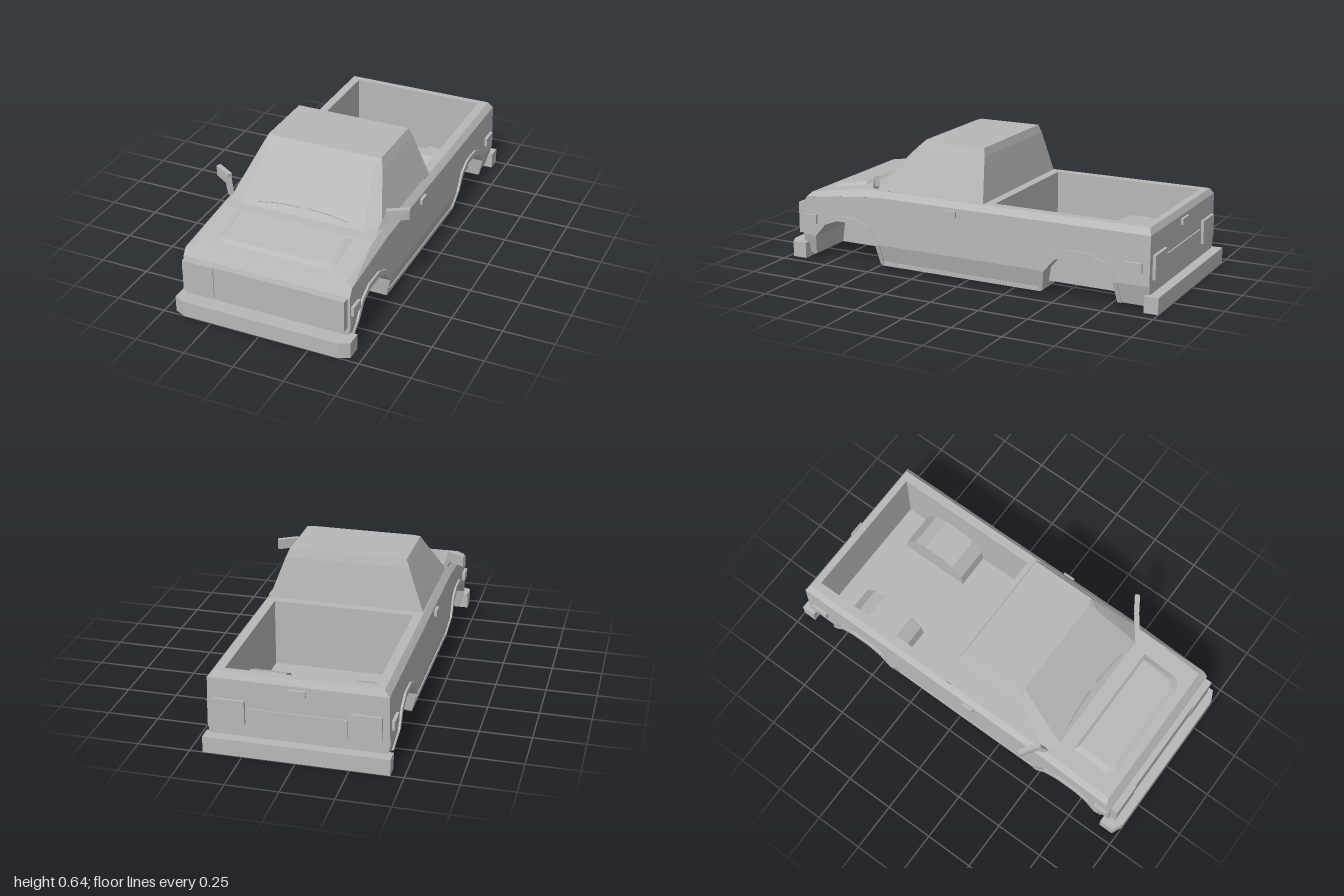
import * as THREE from 'three';

const paint = new THREE.MeshStandardMaterial({ color: 0xb8b8b8, side: THREE.DoubleSide });
paint.name = 'grey paint';

// Half wheel-arch outlines as [z offset, y]
const ARCH_IN = [[0.19, 0.02], [0.175, 0.12], [0.12, 0.185], [0.05, 0.213]];
const ARCH_OUT = [[0.21, 0.02], [0.195, 0.12], [0.135, 0.205], [0.056, 0.24]];
const AXLES = [0.67, -0.6];
const WELL_X = 0.17;

// Half width of the body side at height y
const sideX = y => y <= 0.12 ? 0.4 + 0.25 * (y - 0.02) : 0.425 - 0.02 * (y - 0.12);

// Full arch from front to back
const arch = (half, zc) => [
  ...half.map(([d, y]) => [zc + d, y]),
  ...half.slice().reverse().map(([d, y]) => [zc - d, y]),
];

// Flat-shaded geometry from polygons of [x, y, z] corners
function faces(polys) {
  const p = [];
  for (const q of polys)
    for (let i = 1; i < q.length - 1; i++) p.push(...q[0], ...q[i], ...q[i + 1]);
  const g = new THREE.BufferGeometry();
  g.setAttribute('position', new THREE.Float32BufferAttribute(p, 3));
  g.computeVertexNormals();
  return g;
}

// Shape in the side plane from [z, y] points
const sideShape = pts => new THREE.Shape(pts.map(([z, y]) => new THREE.Vector2(-z, y)));

// Flat-shade after moving every vertex's x by a rule
function shiftX(geo, rule) {
  const g = geo.index ? geo.toNonIndexed() : geo;
  const p = g.attributes.position;
  for (let i = 0; i < p.count; i++) p.setX(i, rule(p.getX(i), p.getY(i)));
  g.computeVertexNormals();
  return g;
}

const sidePanel = pts =>
  shiftX(new THREE.ShapeGeometry(sideShape(pts)).rotateY(Math.PI / 2), (x, y) => sideX(y));

const flip = pts => pts.map(([x, y, z]) => [-x, y, z]);
// Cross strips joining a half-section to its mirror image
const across = pts => pts.slice(1).map((b, i) => [pts[i], b, ...flip([b, pts[i]])]);

export function createModel() {
  const model = new THREE.Group();
  const add = (name, geo) => {
    const m = new THREE.Mesh(geo, paint);
    m.name = name;
    model.add(m);
    return m;
  };
  const pair = (name, geo) => {
    add(name + 'Left', geo);
    add(name + 'Right', geo).scale.x = -1;
  };
  // Box given by its limits
  const box = (x0, x1, y0, y1, z0, z1) =>
    new THREE.BoxGeometry(x1 - x0, y1 - y0, z1 - z0)
      .translate((x0 + x1) / 2, (y0 + y1) / 2, (z0 + z1) / 2);

  // Body sides: upper band, tucked-in lower band, shoulder bevel
  const [zf, zr] = AXLES;
  pair('bodySide', sidePanel([
    [0.925, 0.12], ...arch(ARCH_IN.slice(1), zf), ...arch(ARCH_IN.slice(1), zr),
    [-0.95, 0.12], [-0.95, 0.36], [0.5, 0.36], [0.9, 0.318], [0.925, 0.28],
  ]));
  const spans = [[0.925, null, zf], [null, zf, zr], [null, zr, null]];
  for (const [front, a, b] of spans) {
    const f = d => a === null ? front : a - d;
    const r = d => b === null ? -0.95 : b + d;
    pair('lowerSide', sidePanel([
      [f(0.19), 0.02], [f(0.175), 0.12], [r(0.175), 0.12], [r(0.19), 0.02],
    ]));
  }
  const crease = [[0.422, 0.28, 0.925], [0.421, 0.318, 0.9], [0.42, 0.352, 0.58], [0.42, 0.36, 0.5], [0.42, 0.36, -0.95]];
  const shoulder = [[0.422, 0.28, 0.925], [0.39, 0.335, 0.89], [0.392, 0.384, 0.6], [0.393, 0.39, 0.5], [0.395, 0.39, -0.935]];
  pair('shoulder', faces(crease.slice(1).map((c, i) =>
    [crease[i], c, shoulder[i + 1], shoulder[i]])));

  // Nose, hood and rear panel
  add('nose', faces(across([[0.4, 0.02, 0.925], [0.425, 0.12, 0.925], [0.422, 0.28, 0.925], [0.39, 0.335, 0.89]])));
  add('hood', faces(across(shoulder.slice(1, 4))));
  add('tailgate', faces(across([[0.4, 0.02, -0.95], [0.425, 0.12, -0.95], [0.42, 0.36, -0.95], [0.395, 0.39, -0.935]])));

  // Raised hood panel with sloping sides
  const bulgeLow = [[0.26, 0.345, 0.845], [0.3, 0.349, 0.815], [0.3, 0.381, 0.62]];
  const bulgeTop = [[0.24, 0.36, 0.82], [0.27, 0.364, 0.795], [0.27, 0.394, 0.635]];
  const ring = pts => [...pts, ...flip(pts.slice().reverse())];
  const loft = (a, b) => a.map((p, i) => {
    const j = (i + 1) % a.length;
    return [p, a[j], b[j], b[i]];
  });
  add('hoodPanel', faces([...loft(ring(bulgeLow), ring(bulgeTop)), ring(bulgeTop)]));

  // Cab: base, window top and roof rings
  const cab = [
    [[0.32, 0.39, 0.55], [0.39, 0.39, 0.5], [0.39, 0.39, -0.085]],
    [[0.275, 0.6, 0.338], [0.312, 0.6, 0.315], [0.312, 0.6, -0.053]],
    [[0.262, 0.64, 0.295], [0.295, 0.64, 0.285], [0.295, 0.64, -0.042]],
  ].map(ring);
  add('cab', faces([...loft(cab[0], cab[1]), ...loft(cab[1], cab[2])]));
  add('roof', faces([cab[2]]));

  // Cargo bed: rail, walls and floor
  const bedRing = (y, x, z0, z1) => [[x, y, z1], [x, y, z0], [-x, y, z0], [-x, y, z1]];
  const railIn = bedRing(0.39, 0.35, -0.9, -0.13);
  const floor = bedRing(0.05, 0.35, -0.9, -0.13);
  add('bedRail', faces(loft(bedRing(0.39, 0.395, -0.935, -0.08), railIn)));
  add('bedWalls', faces(loft(railIn, floor)));
  add('bedFloor', faces([floor]));

  // Wheel wells and arch trims
  for (const zc of AXLES) {
    const a = arch(ARCH_IN, zc);
    pair('wheelWell', faces([
      ...a.slice(1).map(([z, y], i) => {
        const [z0, y0] = a[i];
        return [[WELL_X, y0, z0], [sideX(y0), y0, z0], [sideX(y), y, z], [WELL_X, y, z]];
      }),
      a.map(([z, y]) => [WELL_X, y, z]),
    ]));
    const trim = sideShape([...arch(ARCH_OUT, zc), ...a.slice().reverse()]);
    pair('archTrim', shiftX(
      new THREE.ExtrudeGeometry(trim, { depth: 0.03, bevelEnabled: false }).rotateY(Math.PI / 2),
      (x, y) => sideX(y) - 0.02 + x));
  }

  // Underside, narrowed between the wells
  add('underside', faces([
    [0.925, zf + 0.19, 0.4], [zf + 0.19, zf - 0.19, WELL_X], [zf - 0.19, zr + 0.19, 0.4],
    [zr + 0.19, zr - 0.19, WELL_X], [zr - 0.19, -0.95, 0.4],
  ].map(([z0, z1, x]) => bedRing(0.02, x, z0, z1))));
  pair('sill', box(0.385, 0.408, 0.012, 0.032, -0.4, 0.47));

  // Bumpers, the front one with cut corners
  const bumper = pts => {
    const all = [...pts, ...pts.slice().reverse().map(([x, z]) => [-x, z])];
    const s = new THREE.Shape(all.map(([x, z]) => new THREE.Vector2(x, -z)));
    return new THREE.ExtrudeGeometry(s, { depth: 0.08, bevelEnabled: false }).rotateX(-Math.PI / 2);
  };
  add('frontBumper', bumper([[0.448, 0.9], [0.448, 0.975], [0.395, 1]]));
  add('rearBumper', bumper([[0.437, -1], [0.437, -0.93]]));

  // Grille and lights
  add('grille', box(-0.25, 0.25, 0.12, 0.278, 0.91, 0.955));
  pair('headlight', box(0.25, 0.41, 0.12, 0.278, 0.91, 0.96));
  pair('tailLight', box(0.245, 0.39, 0.145, 0.262, -0.965, -0.94));
  add('tailgatePanel', box(-0.23, 0.23, 0.135, 0.225, -0.957, -0.94));
  add('tailgateHandle', box(-0.04, 0.04, 0.315, 0.345, -0.963, -0.94));
  pair('frontMarker', box(0.41, 0.438, 0.183, 0.228, 0.84, 0.917));
  pair('rearMarker', box(0.41, 0.438, 0.183, 0.228, -0.915, -0.825));
  pair('doorHandle', box(0.41, 0.435, 0.317, 0.347, 0.043, 0.102));

  // Mirrors: slanted arm and swept-back housing
  const slab = (pts, dx, dz) => {
    const back = pts.map(([x, y, z]) => [x + dx, y, z + dz]);
    return faces([pts, back, ...loft(pts, back)]);
  };
  pair('mirrorArm', slab([[0.385, 0.4, 0.53], [0.405, 0.4, 0.515], [0.43, 0.445, 0.49], [0.415, 0.49, 0.5]], -0.008, -0.025));
  pair('mirror', slab([[0.415, 0.441, 0.5], [0.504, 0.441, 0.442], [0.504, 0.494, 0.442], [0.41, 0.494, 0.5]], -0.01, -0.022));

  // Wipers resting on the windscreen
  for (const [name, x0, x1] of [['wiperLeft', 0.02, 0.23], ['wiperRight', -0.23, -0.02]]) {
    const outer = x0 > 0 ? x1 : x0, inner = x0 > 0 ? x0 : x1;
    const path = new THREE.CatmullRomCurve3([
      [outer, 0.41, 0.534], [(outer + inner) / 2, 0.42, 0.524], [inner, 0.423, 0.521],
    ].map(p => new THREE.Vector3(...p)));
    add(name, new THREE.TubeGeometry(path, 8, 0.003, 4));
  }
  return model;
}
